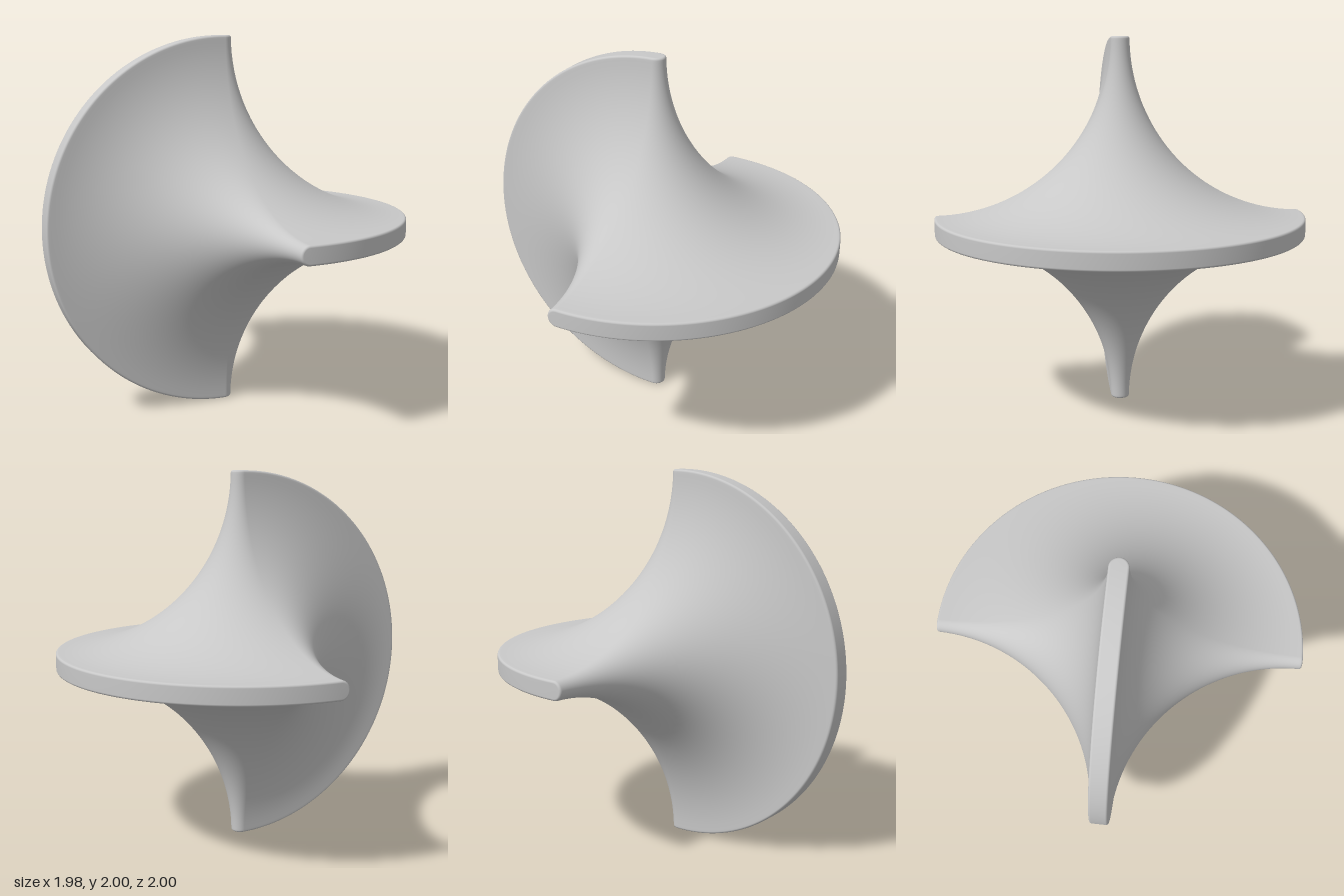
import * as THREE from 'three';

const TIP = 0.05;    // half thickness of the rim and radius of the spike tips
const BEVEL = 0.012; // small rounding of the tip corners

// Points along an arc, angles in quarter turns
function arc(cx, cy, r, from, to, steps) {
  return Array.from({ length: steps + 1 }, (_, i) => {
    const a = (from + (to - from) * i / steps) * Math.PI / 2;
    return new THREE.Vector2(cx + r * Math.cos(a), cy + r * Math.sin(a));
  });
}

// Half of a four-pointed star with concave sides, from bottom spike to top spike
function starProfile() {
  const lower = [
    new THREE.Vector2(0, -1),
    ...arc(TIP - BEVEL, -1 + BEVEL, BEVEL, -1, 0, 4),          // spike tip corner
    ...arc(1, -1, 1 - TIP, 1.985, 1.015, 40),                  // concave flank
    ...arc(1 - BEVEL, -TIP + BEVEL, BEVEL, -1, 0, 4),          // rim corner
  ];
  const upper = lower.map(p => new THREE.Vector2(p.x, -p.y)).reverse();
  return [...lower, ...upper];
}

export function createModel() {
  const group = new THREE.Group();
  group.name = 'twistedStarSolid';
  const grey = new THREE.MeshStandardMaterial({ color: 0xc8c8c8 });
  grey.name = 'light grey';

  // Two identical half turns of the star, one twisted a quarter turn against the other
  const half = new THREE.LatheGeometry(starProfile(), 96, 0, Math.PI);
  const twisted = half.clone().rotateY(Math.PI).rotateX(Math.PI / 2);

  for (const [name, geometry] of [['horizontalHalf', half], ['verticalHalf', twisted]]) {
    geometry.scale(0.992, 1, 1);
    const mesh = new THREE.Mesh(geometry, grey);
    mesh.name = name;
    mesh.position.y = 1;
    group.add(mesh);
  }
  return group;
}
